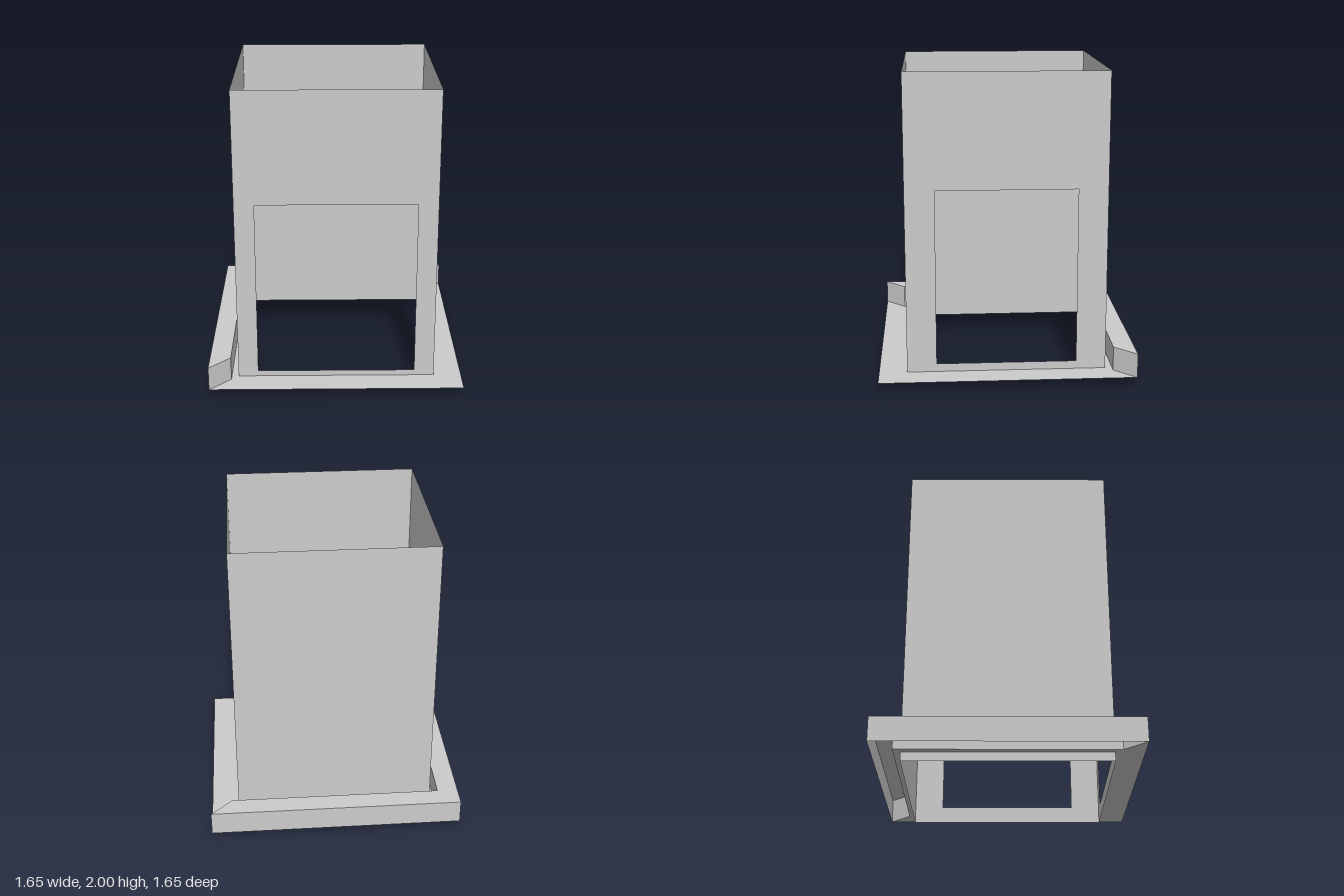
import * as THREE from 'three';

const HEIGHT = 2;      // tube height
const WALL = 0.645;    // half width of the square tube
const INNER = 0.69;    // inner face of the moulding
const OUTER = 0.826;   // outer edge of plate and moulding
const BASE = 0.057;    // level of the plate
const TOP = 0.215;     // top of the moulding

const material = new THREE.MeshStandardMaterial({
  color: 0xcccccc, flatShading: true, side: THREE.DoubleSide,
});

function named(name, geometry) {
  const mesh = new THREE.Mesh(geometry, material);
  mesh.name = name;
  return mesh;
}

function outline(points) {
  return points.map(([x, y]) => new THREE.Vector2(x, y));
}

function rectangle(halfWidth, bottom, top) {
  return outline([[-halfWidth, bottom], [halfWidth, bottom], [halfWidth, top], [-halfWidth, top]]);
}

// Thin wall, turned about y to one side of the tube, with an optional opening
function wall(name, angle, opening) {
  const shape = new THREE.Shape(rectangle(WALL, 0, HEIGHT));
  if (opening) shape.holes.push(new THREE.Path(rectangle(...opening)));
  const geometry = new THREE.ShapeGeometry(shape);
  geometry.translate(0, 0, WALL).rotateY(angle);
  return named(name, geometry);
}

// Flat plate round the tube: wide at front and left, narrow behind the moulding
function basePlate() {
  const shape = new THREE.Shape(outline([
    [OUTER, OUTER], [INNER, INNER], [-INNER, INNER],
    [-INNER, -INNER], [-OUTER, -OUTER], [OUTER, -OUTER],
  ]));
  shape.holes.push(new THREE.Path(rectangle(WALL, -WALL, WALL)));
  const geometry = new THREE.ShapeGeometry(shape);
  geometry.rotateX(-Math.PI / 2).translate(0, BASE, 0);
  return named('basePlate', geometry);
}

// L-shaped moulding, open underneath, with mitred ends
function moulding() {
  const profile = [[OUTER, BASE], [OUTER, TOP], [INNER, TOP], [INNER, BASE]];
  const corners = [[1, -1], [-1, -1], [-1, 1]];
  const rings = corners.map(([sx, sz]) => profile.map(([r, y]) => [sx * r, y, sz * r]));
  const positions = [];
  const quad = (a, b, c, d) => positions.push(...a, ...b, ...c, ...a, ...c, ...d);
  for (let s = 0; s < rings.length - 1; s++) {
    for (let i = 0; i < profile.length - 1; i++) {
      quad(rings[s][i], rings[s + 1][i], rings[s + 1][i + 1], rings[s][i + 1]);
    }
  }
  quad(...rings[0]);
  quad(...[...rings[2]].reverse());
  const geometry = new THREE.BufferGeometry();
  geometry.setAttribute('position', new THREE.Float32BufferAttribute(positions, 3));
  geometry.computeVertexNormals();
  return named('moulding', geometry);
}

export function createModel() {
  const model = new THREE.Group();
  model.name = 'openTubeOnBase';
  model.add(
    wall('frontWall', 0, [0.515, 0.095, 1.26]),
    wall('leftWall', Math.PI / 2, [0.453, 0.11, 1.255]),
    wall('backWall', Math.PI),
    wall('rightWall', -Math.PI / 2),
    basePlate(),
    moulding(),
  );
  return model;
}
